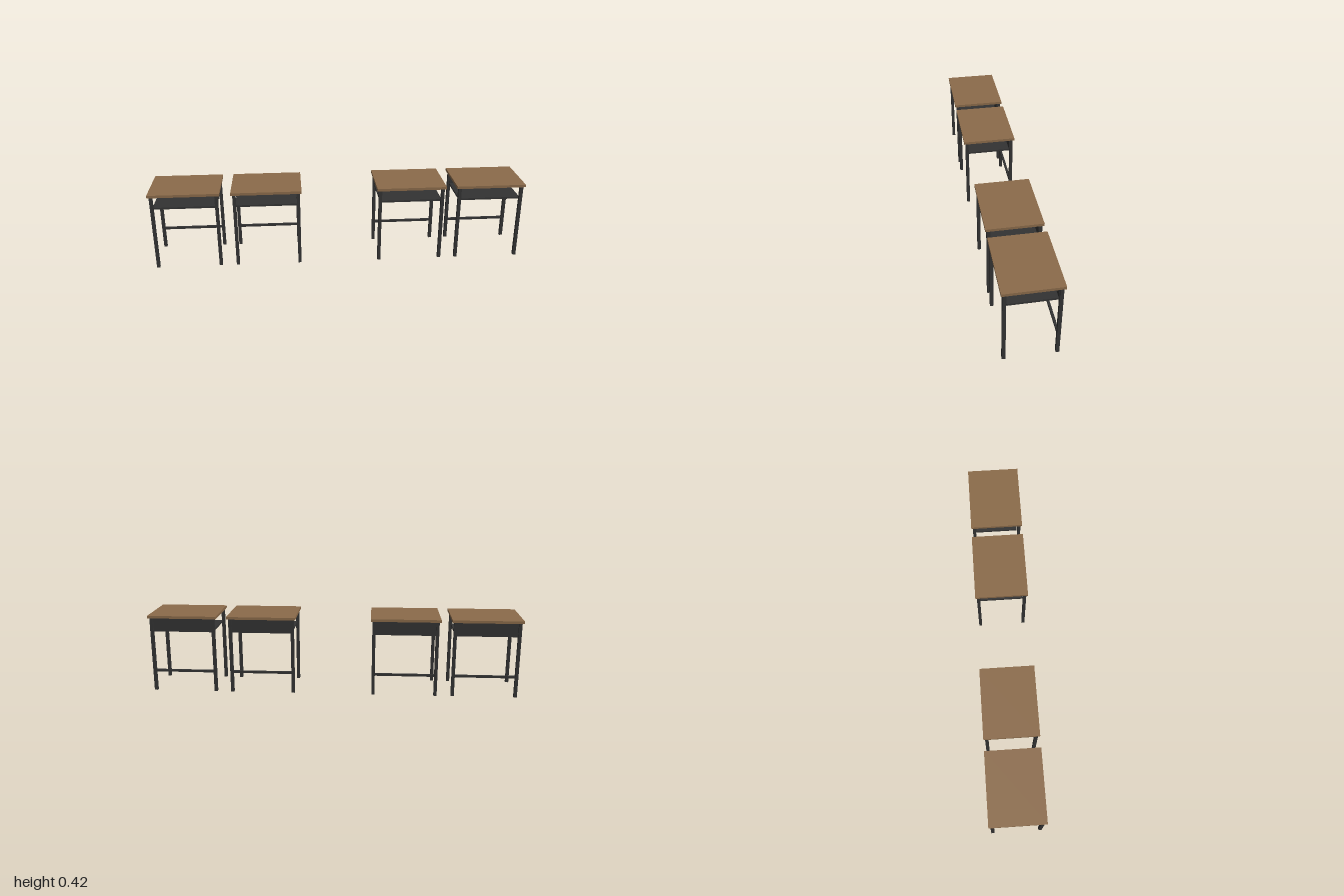
import * as THREE from 'three';

const wood = new THREE.MeshStandardMaterial({ color: 0x8b6b4a });
wood.name = 'brown wood';
const metal = new THREE.MeshStandardMaterial({ color: 0x333333 });
metal.name = 'dark metal';

function addBox(parent, name, material, [w, h, d], [x, y, z]) {
  const mesh = new THREE.Mesh(new THREE.BoxGeometry(w, h, d), material);
  mesh.name = name;
  mesh.position.set(x, y, z);
  parent.add(mesh);
}

function createDesk() {
  const desk = new THREE.Group();
  desk.name = 'desk';
  addBox(desk, 'deskTop', wood, [0.371, 0.014, 0.285], [0, 0.416, 0]);

  // four square legs
  for (const z of [0.126, -0.126])
    for (const x of [0.168, -0.168])
      addBox(desk, z > 0 ? 'frontLeg' : 'backLeg', metal, [0.017, 0.41, 0.017], [x, 0.205, z]);

  // book shelf, back panel and low rear crossbar
  addBox(desk, 'shelf', metal, [0.333, 0.01, 0.23], [0, 0.338, 0]);
  addBox(desk, 'backPanel', metal, [0.333, 0.076, 0.01], [0, 0.371, -0.12]);
  addBox(desk, 'crossbar', metal, [0.333, 0.012, 0.012], [0, 0.113, -0.126]);
  return desk;
}

export function createModel() {
  const model = new THREE.Group();
  model.name = 'deskRow';
  // two pairs of desks with an aisle between
  for (const x of [-0.8145, -0.386, 0.386, 0.8145]) {
    const desk = createDesk();
    desk.position.x = x;
    model.add(desk);
  }
  return model;
}
